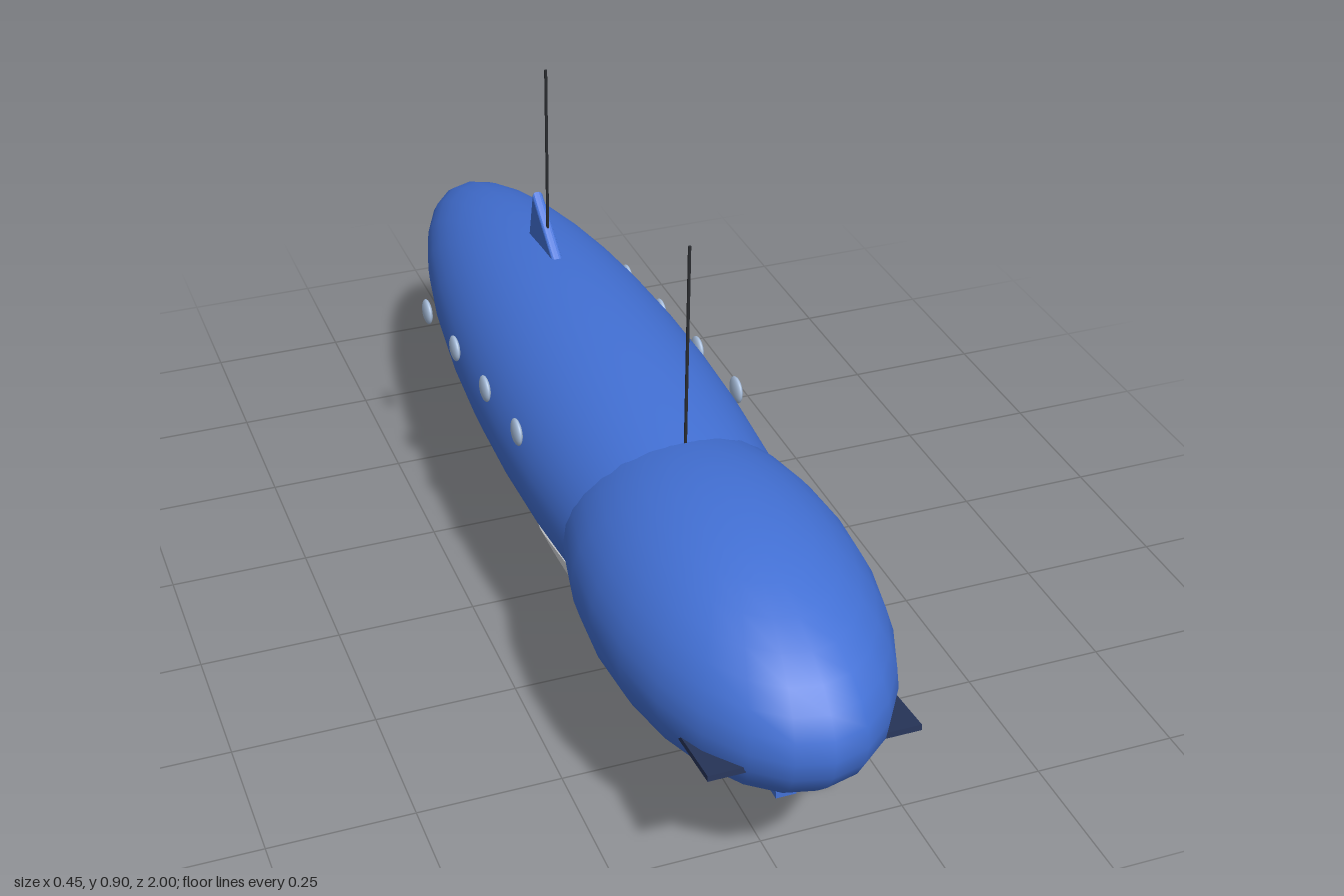
import * as THREE from 'three';

const mat = (name, color) => {
  const m = new THREE.MeshStandardMaterial({ color });
  m.name = name;
  return m;
};

// Main hull ellipsoid: centre and radii
const HULL = { y: 0.37, z: 0.03, rx: 0.205, ry: 0.19, rz: 0.89 };

export function createModel() {
  const group = new THREE.Group();
  const blue = mat('hullBlue', 0x4371d6);
  const navy = mat('darkNavy', 0x27355a);
  const white = mat('bellyWhite', 0xdcdee2);
  white.side = THREE.DoubleSide;
  const glass = mat('portholeBlueGrey', 0xa9bfdd);
  const black = mat('antennaBlack', 0x2a2c30);

  const add = (name, geo, material, x = 0, y = 0, z = 0) => {
    const mesh = new THREE.Mesh(geo, material);
    mesh.name = name;
    mesh.position.set(x, y, z);
    group.add(mesh);
    return mesh;
  };
  const ellipsoid = (name, material, pos, rad, w = 32, h = 20) =>
    add(name, new THREE.SphereGeometry(1, w, h).scale(...rad), material, ...pos);

  // Upright plate with rounded edges, outlined by [z, y] points
  const plate = (name, points, thick) => {
    const shape = new THREE.Shape(points.map(([z, y]) => new THREE.Vector2(-z, y)));
    const bevel = 0.007;
    const geo = new THREE.ExtrudeGeometry(shape, {
      depth: thick - 2 * bevel, bevelSize: bevel, bevelOffset: -bevel,
      bevelThickness: bevel, bevelSegments: 3,
    });
    geo.translate(0, 0, bevel - thick / 2).rotateY(Math.PI / 2);
    return add(name, geo, blue);
  };

  // Hull and bulbous head
  ellipsoid('hull', blue, [0, HULL.y, HULL.z], [HULL.rx, HULL.ry, HULL.rz], 32, 24);
  ellipsoid('head', blue, [0, 0.363, 0.57], [0.225, 0.198, 0.43], 24, 18);

  // Belly patch: a skin over the hull underside, swelling towards the head
  const edge = [[-0.165, 0.186], [-0.15, 0.21], [-0.11, 0.243], [0, 0.25], [0.11, 0.252],
    [0.17, 0.272], [0.25, 0.303], [0.35, 0.312], [0.39, 0.297], [0.43, 0.255]];
  const edgeY = (z) => {
    const i = Math.max(1, edge.findIndex((e) => e[0] >= z - 1e-6));
    const [a, b] = [edge[i - 1], edge[i]];
    return THREE.MathUtils.lerp(a[1], b[1], (z - a[0]) / (b[0] - a[0]));
  };
  const belly = new THREE.PlaneGeometry(2, 1, 28, 40);
  const p = belly.attributes.position;
  for (let i = 0; i < p.count; i++) {
    const u = p.getX(i);
    const z = THREE.MathUtils.lerp(-0.165, 0.43, p.getY(i) + 0.5);
    const k = Math.sqrt(1 - ((z - HULL.z) / HULL.rz) ** 2);
    const a = u * Math.acos(Math.min(1, (HULL.y - edgeY(z)) / (HULL.ry * k)));
    const swell = 1.012 + 0.105 * Math.max(0, z / 0.41) ** 2 * (1 - u ** 6);
    p.setXYZ(i, HULL.rx * k * swell * Math.sin(a), HULL.y - HULL.ry * k * swell * Math.cos(a), z);
  }
  belly.computeVertexNormals();
  add('bellyPatch', belly, white);

  for (const side of [-1, 1]) {
    // Portholes, stepping down towards the tail
    [[0.13, 0.446], [-0.05, 0.427], [-0.235, 0.405], [-0.415, 0.384]].forEach(([z, y]) =>
      ellipsoid('porthole', glass, [side * 0.2, y, z], [0.008, 0.024, 0.024], 16, 12));

    // Thin bow planes, tilted down towards the back
    const bow = add('bowPlane', new THREE.BoxGeometry(0.1, 0.01, 0.12), navy, side * 0.122, 0.322, 0.872);
    bow.rotation.x = -0.1;

    // Narrow strakes along the underside
    const strake = add('strake', new THREE.BoxGeometry(0.008, 0.004, 0.53), navy, side * 0.114, 0.201, 0.365);
    strake.rotation.x = 0.008;
  }

  // Small wedge under the chin
  add('chinWedge', new THREE.BoxGeometry(0.034, 0.012, 0.06), blue, -0.022, 0.217, 0.853);

  // Dorsal fin
  plate('dorsalFin', [[-0.235, 0.548], [-0.352, 0.632], [-0.378, 0.53], [-0.3, 0.53]], 0.02);

  // Two-bladed tail fin
  plate('tailFinFront', [[-0.642, 0.06], [-0.78, 0], [-0.826, 0.37], [-0.8, 0.37]], 0.022);
  plate('tailFinBack', [[-0.865, 0], [-1, 0.06], [-0.845, 0.37], [-0.818, 0.37]], 0.022);

  // Antennas
  for (const z of [0.395, -0.293])
    add('antenna', new THREE.CylinderGeometry(0.0028, 0.0028, 0.38, 8), black, 0, 0.71, z);

  return group;
}
